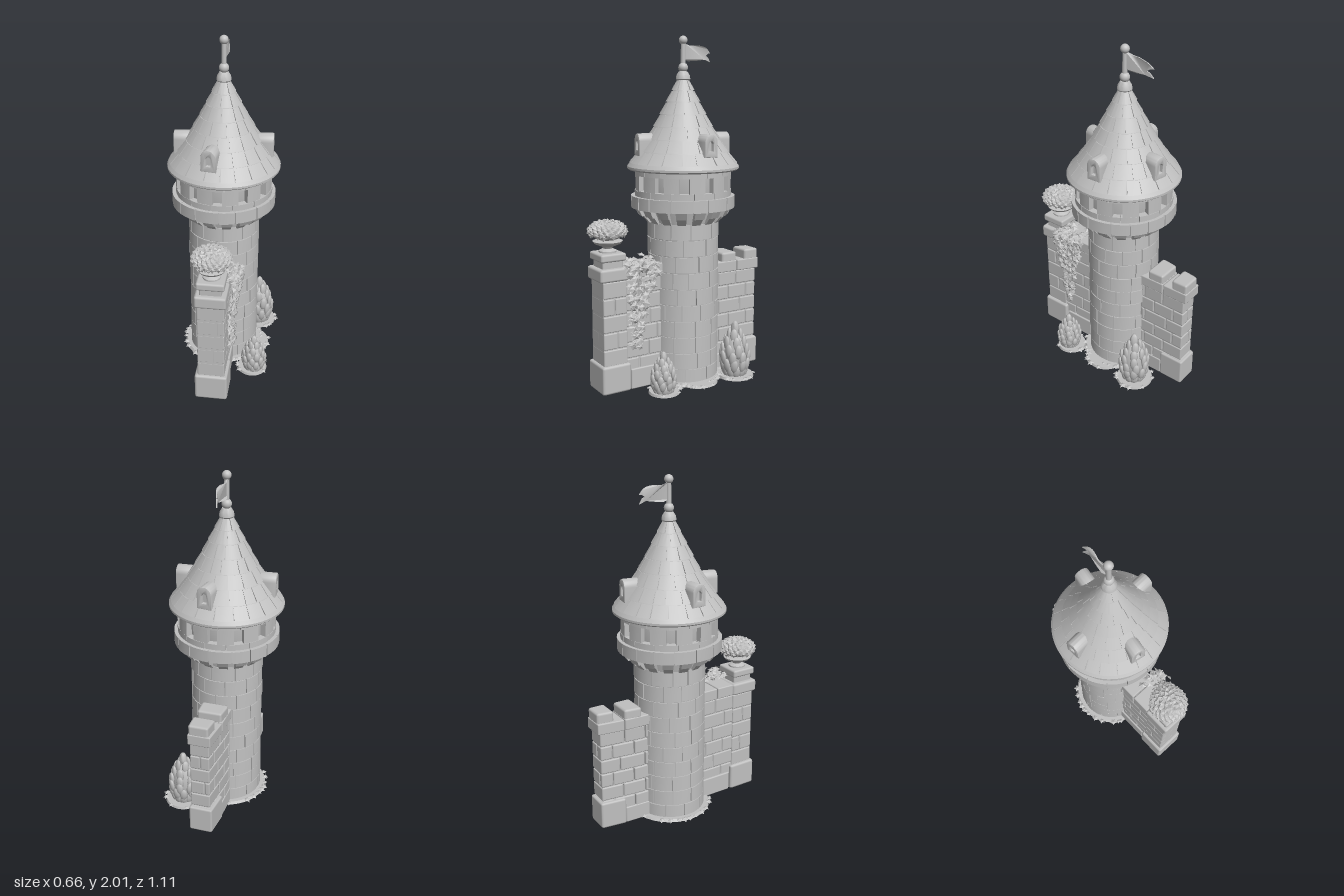
import * as THREE from 'three';
import { mergeGeometries, toCreasedNormals } from 'three/addons/utils/BufferGeometryUtils.js';
import { RoundedBoxGeometry } from 'three/addons/geometries/RoundedBoxGeometry.js';

const stone = new THREE.MeshStandardMaterial({ color: 0xc0c0c0, side: THREE.DoubleSide });
stone.name = 'grey stone';
const AXIS = -0.055; // z of the tower axis
const DEG = Math.PI / 180;

let seed = 7;
const rnd = (a = 0, b = 1) => {
  seed = (seed * 16807) % 2147483647;
  return a + (b - a) * seed / 2147483647;
};
const lerp = THREE.MathUtils.lerp;
const flat = g => (g.index ? g.toNonIndexed() : g);

function part(parent, name, geos) {
  const mesh = new THREE.Mesh(mergeGeometries([geos].flat().map(flat)), stone);
  mesh.name = name;
  parent.add(mesh);
  return mesh;
}

// Box bent around the y axis; its outer radius runs from rBottom to rTop
function arcBlock(a0, a1, y0, y1, rBottom, rTop, thick) {
  const g = new THREE.BoxGeometry(1, 1, 1, Math.max(2, Math.ceil((a1 - a0) / 0.12)), 1, 1);
  const p = g.attributes.position;
  for (let i = 0; i < p.count; i++) {
    const a = lerp(a0, a1, p.getX(i) + 0.5), t = p.getY(i) + 0.5;
    const r = lerp(rBottom, rTop, t) - (0.5 - p.getZ(i)) * thick;
    p.setXYZ(i, r * Math.sin(a), lerp(y0, y1, t), r * Math.cos(a));
  }
  return toCreasedNormals(g, 0.5);
}

// One ring of blocks with narrow joints
function course(n, y0, y1, rBottom, rTop, thick, gap = 0.006) {
  const start = rnd(0, 6), step = Math.PI * 2 / n, out = [];
  const cuts = Array.from({ length: n }, (_, i) => start + (i + rnd(-0.15, 0.15)) * step);
  cuts.push(cuts[0] + Math.PI * 2);
  const half = gap / 2 / Math.max(rBottom, rTop);
  for (let i = 0; i < n; i++) {
    const j = rnd(-0.0015, 0.0015);
    out.push(arcBlock(cuts[i] + half, cuts[i + 1] - half, y0, y1 - gap, rBottom + j, rTop + j, thick));
  }
  return out;
}

const lathe = (pts, seg = 48) =>
  toCreasedNormals(new THREE.LatheGeometry(pts.map(q => new THREE.Vector2(...q)), seg), 0.6);

function block(x0, x1, y0, y1, z0, z1, r = 0.007) {
  return new RoundedBoxGeometry(x1 - x0, y1 - y0, z1 - z0, 1, r)
    .translate((x0 + x1) / 2, (y0 + y1) / 2, (z0 + z1) / 2);
}

// Solid core faced with staggered bricks
function brickwork(hx, y0, y1, z0, z1, rows, brick) {
  const c = 0.006, out = [new THREE.BoxGeometry(2 * (hx - c), y1 - y0, z1 - z0 - 2 * c)
    .translate(0, (y0 + y1) / 2, (z0 + z1) / 2)];
  const h = (y1 - y0) / rows, n = Math.max(1, Math.round((z1 - z0) / brick));
  for (let k = 0; k < rows; k++) {
    const cuts = [z0];
    for (let i = 1; i <= n; i++) {
      const z = z0 + (i - (k % 2 ? 0.5 : 0) + rnd(-0.12, 0.12)) * (z1 - z0) / n;
      if (z < z1 - 0.03) cuts.push(z);
    }
    cuts.push(z1);
    const split = rnd(-0.4, 0.4) * hx, xs = k % 2 ? [-hx, split, hx] : [-hx, hx];
    for (let i = 0; i < cuts.length - 1; i++)
      for (let j = 0; j < xs.length - 1; j++)
        out.push(block(xs[j] + (j ? 0.004 : 0), xs[j + 1], y0 + k * h, y0 + (k + 1) * h - 0.005, cuts[i], cuts[i + 1] - 0.005));
  }
  return out;
}

function place(geo, pos, rot, scale) {
  const q = new THREE.Quaternion().setFromEuler(new THREE.Euler(...rot, 'YXZ'));
  return geo.clone().applyMatrix4(new THREE.Matrix4().compose(new THREE.Vector3(...pos), q, new THREE.Vector3(...scale)));
}

// Five-pointed domed leaf
function makeLeaf() {
  const g = new THREE.ConeGeometry(1, 0.45, 10, 1, true), p = g.attributes.position;
  for (let i = 0; i < p.count; i++) {
    if (Math.round(Math.atan2(p.getX(i), p.getZ(i)) / (36 * DEG)) % 2)
      p.setXYZ(i, p.getX(i) * 0.58, p.getY(i) + 0.1, p.getZ(i) * 0.58);
  }
  const f = g.toNonIndexed();
  f.computeVertexNormals();
  return f;
}

function bush(parent, x, z, h, r) {
  const scale = new THREE.SphereGeometry(1, 8, 6), rows = 7;
  const geos = [place(scale, [x, h * 0.38, z], [0, 0, 0], [r * 0.75, h * 0.42, r * 0.75])];
  for (let k = 0; k < rows; k++) {
    const t = k / (rows - 1), n = Math.round(lerp(11, 3, t));
    const ring = r * 0.8 * Math.sin(Math.PI * (0.3 + 0.67 * t));
    for (let i = 0; i < n; i++) {
      const a = (i + (k % 2) / 2 + rnd(-0.1, 0.1)) / n * Math.PI * 2;
      geos.push(place(scale, [x + ring * Math.sin(a), h * (0.11 + 0.74 * t), z + ring * Math.cos(a)],
        [lerp(0.25, -0.15, t), a, 0], [r * 0.24, h * 0.13, r * 0.15]));
    }
  }
  part(parent, 'bush', geos);
}

function buildTower() {
  const tower = new THREE.Group();
  tower.name = 'tower';
  tower.position.z = AXIS;
  part(tower, 'towerCore', lathe([[0, 0], [0.202, 0], [0.202, 0.94], [0.245, 1.02], [0.245, 1.26], [0, 1.26]]));
  const shaft = [];
  for (let k = 0; k < 10; k++) shaft.push(...course(11, k * 0.095, (k + 1) * 0.095, 0.21, 0.208, 0.02));
  part(tower, 'towerStones', shaft);

  // Corbels under the gallery
  const corbels = [];
  for (let i = 0; i < 16; i++) {
    const a = (i + 0.5) * Math.PI / 8, w = 6.5 * DEG;
    corbels.push(arcBlock(a - w, a + w, 0.94, 0.98, 0.215, 0.25, 0.04));
    corbels.push(arcBlock(a - w, a + w, 0.98, 1.025, 0.262, 0.285, 0.07));
  }
  part(tower, 'corbels', corbels);
  part(tower, 'galleryRingCore', lathe([[0.2, 1.025], [0.293, 1.025], [0.293, 1.092], [0.24, 1.092]]));
  part(tower, 'galleryRing', course(16, 1.022, 1.098, 0.302, 0.302, 0.03));

  // Chamber with twelve windows
  const chamber = [...course(14, 1.092, 1.13, 0.281, 0.281, 0.045, 0.004), ...course(14, 1.212, 1.255, 0.281, 0.281, 0.045, 0.004)];
  for (let i = 0; i < 12; i++) {
    const a = (i + 0.5) * 30 * DEG;
    chamber.push(arcBlock(a - 9.3 * DEG, a + 9.3 * DEG, 1.126, 1.212, 0.279, 0.279, 0.045));
  }
  part(tower, 'chamberWall', chamber);

  // Roof courses
  const roof = [[0.312, 1.283], [0.262, 1.35], [0.215, 1.42], [0.172, 1.49], [0.134, 1.56], [0.098, 1.63], [0.065, 1.695], [0.035, 1.757]];
  part(tower, 'roofCore', lathe([[0.24, 1.24], [0.31, 1.245], ...roof.map(([r, y]) => [r - 0.007, y]), [0, 1.757]]));
  part(tower, 'roofRim', lathe([[0.27, 1.242], [0.315, 1.242], [0.325, 1.25], [0.325, 1.262], [0.308, 1.286]], 64));
  part(tower, 'roofTiles', roof.slice(1).flatMap(([r, y], i) =>
    course([20, 18, 16, 14, 11, 9, 6][i], roof[i][1], y, roof[i][0] + 0.002, r, 0.02)));

  // Dormers
  const arch = (w, h, y = 0) => {
    const s = new THREE.Shape();
    s.moveTo(-w, y).lineTo(w, y).lineTo(w, h - w).absarc(0, h - w, w, 0, Math.PI).lineTo(-w, y);
    return s;
  };
  const frame = arch(0.037, 0.115);
  frame.holes.push(arch(0.019, 0.088, 0.022));
  for (const angle of [-10, 92, 171, 273]) {
    const dormer = new THREE.Group();
    dormer.name = 'dormer';
    dormer.rotation.y = angle * DEG;
    dormer.position.y = 1.332;
    const hood = new THREE.ExtrudeGeometry(frame, { depth: 0.095, bevelSize: 0.006, bevelThickness: 0.006, bevelSegments: 2, curveSegments: 10 });
    part(dormer, 'dormerHood', toCreasedNormals(hood.translate(0, 0, 0.182), 0.6));
    part(dormer, 'dormerRecess', new THREE.ShapeGeometry(arch(0.025, 0.1, 0.01)).translate(0, 0, 0.262));
    tower.add(dormer);
  }

  // Finial, pole and flag
  part(tower, 'finial', [lathe([[0.036, 1.75], [0.042, 1.757], [0.038, 1.78], [0.025, 1.8], [0, 1.805]], 24),
    new THREE.SphereGeometry(0.028, 20, 14).translate(0, 1.822, 0)]);
  part(tower, 'flagPole', [new THREE.CylinderGeometry(0.013, 0.015, 0.15, 16).translate(0, 1.9, 0),
    new THREE.SphereGeometry(0.025, 20, 14).translate(0, 1.975, 0)]);
  const s = new THREE.Shape();
  s.moveTo(0, 1.962);
  s.splineThru([[0.05, 1.947], [0.1, 1.948], [0.15, 1.935], [0.185, 1.905]].map(q => new THREE.Vector2(...q)));
  for (const q of [[0.165, 1.903], [0.148, 1.89], [0.165, 1.882], [0.185, 1.855], [0.14, 1.868], [0.08, 1.86], [0.04, 1.858], [0, 1.868]]) s.lineTo(...q);
  const flag = new THREE.ExtrudeGeometry(s, { depth: 0.007, bevelEnabled: false }).rotateY(Math.PI / 2);
  const p = flag.attributes.position;
  for (let i = 0; i < p.count; i++) p.setX(i, p.getX(i) - 0.003 + 0.009 * Math.sin(p.getZ(i) * 35));
  part(tower, 'flag', toCreasedNormals(flag, 0.6));
  return tower;
}

function buildWalls() {
  const walls = new THREE.Group();
  walls.name = 'walls';
  // Front wall and end pillar
  part(walls, 'frontWall', brickwork(0.073, 0, 0.65, 0.08, 0.37, 7, 0.12));
  part(walls, 'frontWallCoping', [block(-0.084, 0.084, 0.65, 0.72, 0.08, 0.235), block(-0.084, 0.084, 0.65, 0.72, 0.24, 0.355)]);
  part(walls, 'pillar', brickwork(0.078, 0.16, 0.65, 0.36, 0.513, 5, 0.13));
  part(walls, 'pillarBase', [block(-0.095, 0.095, 0, 0.165, 0.345, 0.524, 0.014), block(-0.083, 0.083, 0, 0.12, 0.1, 0.34)]);
  part(walls, 'pillarCap', [block(-0.09, 0.09, 0.645, 0.72, 0.352, 0.528, 0.014),
    block(-0.062, 0.062, 0.71, 0.765, 0.375, 0.502), block(-0.08, 0.08, 0.757, 0.803, 0.362, 0.518, 0.012)]);
  // Back wall, its left face drawn in toward the end
  const back = [
    part(walls, 'backWall', brickwork(0.073, 0, 0.61, -0.54, -0.14, 7, 0.14)),
    part(walls, 'backWallBase', [block(-0.09, 0.083, 0, 0.165, -0.555, -0.4, 0.012), block(-0.082, 0.079, 0, 0.1, -0.4, -0.14)]),
    part(walls, 'parapet', [block(-0.088, 0.08, 0.605, 0.672, -0.558, -0.4), block(-0.088, 0.08, 0.605, 0.672, -0.396, -0.14)]),
    part(walls, 'merlons', [block(-0.075, 0.076, 0.66, 0.73, -0.555, -0.455, 0.014), block(-0.08, 0.076, 0.66, 0.725, -0.395, -0.29, 0.014)]),
  ];
  for (const { geometry } of back) {
    const p = geometry.attributes.position;
    for (let i = 0; i < p.count; i++)
      if (p.getX(i) < -0.02) p.setX(i, p.getX(i) + 0.035 * THREE.MathUtils.clamp((-0.3 - p.getZ(i)) / 0.25, 0, 1));
  }
  return walls;
}

function buildPlants() {
  const plants = new THREE.Group();
  plants.name = 'plants';
  const leaf = makeLeaf();
  // Urn with a leafy crown
  part(plants, 'urn', lathe([[0, 0.8], [0.05, 0.8], [0.05, 0.812], [0.026, 0.824], [0.032, 0.834], [0.075, 0.852], [0.085, 0.866], [0.072, 0.87], [0, 0.87]], 28).translate(0, 0, 0.44));
  const crown = [new THREE.SphereGeometry(1, 20, 12).scale(0.098, 0.052, 0.098).translate(0, 0.92, 0.44)];
  for (let i = 0; i < 95; i++) {
    const u = 1 - 1.35 * (i + 0.5) / 95, a = i * 2.39996, c = Math.sqrt(1 - u * u), s = rnd(0.021, 0.028);
    crown.push(place(leaf, [0.107 * c * Math.sin(a), 0.922 + 0.058 * u, 0.44 + 0.107 * c * Math.cos(a)],
      [Math.acos(u) * 0.85 + rnd(-0.2, 0.2), a, 0], [s, s * 1.3, s]));
  }
  part(plants, 'urnLeaves', crown);

  // Ivy over the wall and trailing down its left face
  const ivy = [];
  for (let i = 0; i < 115; i++) {
    const t = Math.pow(i / 114, 1.25), y = lerp(0.75, 0.26, t), half = lerp(0.105, 0.018, Math.min(1, t * 1.15));
    const s = rnd(0.022, 0.032), bulge = lerp(0.075, 0.03, Math.min(1, t * 1.6));
    ivy.push(place(leaf, [0.085 + bulge * rnd(0.1, 1), y + rnd(-0.02, 0.02), lerp(0.29, 0.312, t) + half * rnd(-1, 1)],
      [rnd(-0.4, 0.4), rnd(-0.4, 0.4), -Math.PI / 2 + rnd(-0.1, 0.6)], [s, s, s]));
  }
  for (let i = 0; i < 30; i++) {
    const s = rnd(0.024, 0.032);
    ivy.push(place(leaf, [rnd(0.0, 0.14), rnd(0.73, 0.77), rnd(0.2, 0.38)], [rnd(-0.3, 0.3), rnd(0, 6), rnd(-0.5, 0.2)], [s, s, s]));
  }
  part(plants, 'ivyLeaves', ivy);
  const stem = new THREE.CatmullRomCurve3([[0.03, 0.73, 0.29], [0.1, 0.72, 0.29], [0.1, 0.55, 0.3], [0.09, 0.4, 0.31], [0.088, 0.26, 0.312]].map(q => new THREE.Vector3(...q)));
  part(plants, 'ivyStem', new THREE.TubeGeometry(stem, 24, 0.009, 6));

  bush(plants, 0.22, 0.21, 0.25, 0.082);
  bush(plants, 0.205, -0.295, 0.345, 0.1);

  // Low ground ring with scattered leaves
  const ground = [];
  for (const [x, z, r] of [[0, AXIS, 0.245], [0.21, 0.2, 0.09], [0.205, -0.3, 0.11], [0.17, -0.05, 0.12]]) {
    ground.push(new THREE.CylinderGeometry(r * 0.96, r, 0.014, 32).translate(x, 0.007, z));
    for (let i = 0; i < r * 130; i++) {
      const a = rnd(0, 6.283), s = rnd(0.016, 0.026);
      ground.push(place(leaf, [x + r * Math.sin(a), 0.015, z + r * Math.cos(a)], [rnd(0, 0.3), a, 0], [s, s, s]));
    }
  }
  part(plants, 'groundCover', ground);
  return plants;
}

export function createModel() {
  seed = 7;
  const model = new THREE.Group();
  model.name = 'castleTower';
  model.add(buildTower(), buildWalls(), buildPlants());
  return model;
}
